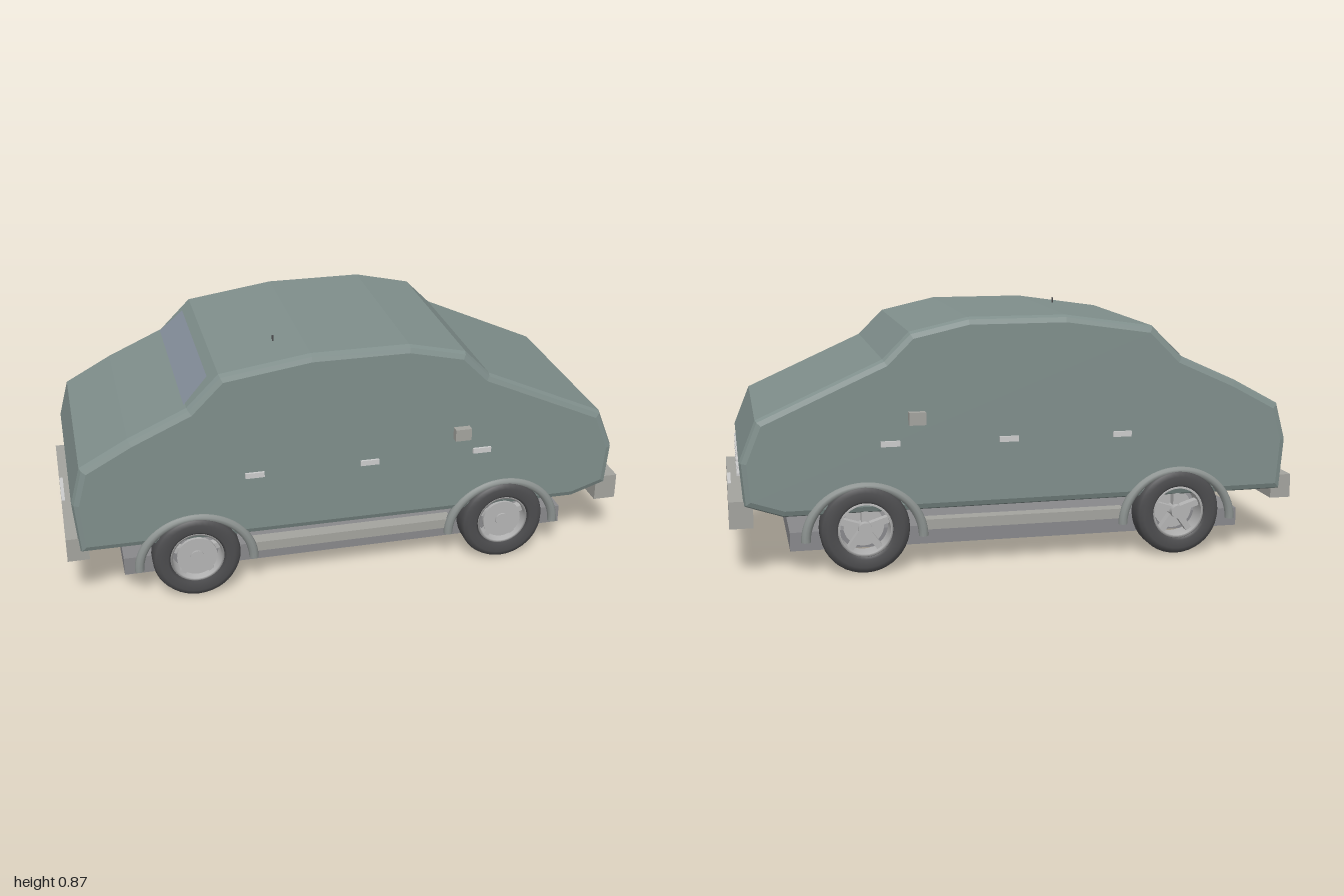
import * as THREE from 'three';

const paint = (color, extra = {}) => new THREE.MeshStandardMaterial({ color, ...extra });
const bodyMat = paint(0x7f8e8b, { flatShading: true });
const glassMat = paint(0x868f9c, { side: THREE.DoubleSide });
const trimMat = paint(0xa3a39e);
const lightMat = paint(0xcccccc);
const chassisMat = paint(0x88888b);
const tyreMat = paint(0x4c4c4e);
const rimMat = paint(0xb4b4b4);

function add(parent, name, geometry, material, x = 0, y = 0, z = 0) {
  const mesh = new THREE.Mesh(geometry, material);
  mesh.name = name;
  mesh.position.set(x, y, z);
  parent.add(mesh);
  return mesh;
}

// Box given by its extents on each axis
function slab(parent, name, material, [x0, x1], [y0, y1], [z0, z1]) {
  return add(parent, name, new THREE.BoxGeometry(x1 - x0, y1 - y0, z1 - z0), material,
    (x0 + x1) / 2, (y0 + y1) / 2, (z0 + z1) / 2);
}

// Saloon side profile extruded across the width with bevelled edges
function bodyGeometry() {
  const profile = [
    [-0.955, 0.215], [0.82, 0.207], [0.95, 0.25], [0.962, 0.4], [0.905, 0.54],
    [0.48, 0.73], [0.39, 0.82], [0.19, 0.865], [-0.15, 0.865], [-0.46, 0.82],
    [-0.57, 0.71], [-0.77, 0.62], [-0.935, 0.53], [-0.97, 0.4],
  ].map(([x, y]) => new THREE.Vector2(x, y));
  const bevel = 0.024;
  const geometry = new THREE.ExtrudeGeometry(new THREE.Shape(profile), {
    depth: 0.76 - 2 * bevel, bevelEnabled: true, bevelSize: bevel,
    bevelThickness: bevel, bevelOffset: -bevel, bevelSegments: 2,
  });
  return geometry.translate(0, 0, -0.38 + bevel);
}

// Wheel with a capped outer face and five spokes behind it
function makeWheel() {
  const wheel = new THREE.Group();
  wheel.name = 'wheel';
  const lathe = pts => new THREE.LatheGeometry(
    pts.map(([r, z]) => new THREE.Vector2(r, z)), 40).rotateX(Math.PI / 2);
  add(wheel, 'tyre', lathe([
    [0.094, -0.04], [0.102, -0.046], [0.13, -0.047], [0.146, -0.041], [0.153, -0.025],
    [0.153, 0.025], [0.146, 0.041], [0.13, 0.047], [0.102, 0.046], [0.094, 0.04], [0.094, -0.04],
  ]), tyreMat);
  add(wheel, 'rim', lathe([
    [0.086, -0.038], [0.095, -0.038], [0.095, 0.038], [0.086, 0.038], [0.086, -0.038],
  ]), rimMat);
  const disc = (name, r, depth, z) => add(wheel, name,
    new THREE.CylinderGeometry(r, r, depth, 32).rotateX(Math.PI / 2), rimMat, 0, 0, z);
  disc('wheelDisc', 0.07, 0.012, 0.026);
  disc('hub', 0.024, 0.076, 0);
  for (let i = 0; i < 5; i++) {
    const angle = Math.PI / 2 + i * Math.PI * 2 / 5;
    const spoke = add(wheel, 'spoke', new THREE.BoxGeometry(0.085, 0.022, 0.03), rimMat,
      0.05 * Math.cos(angle), 0.05 * Math.sin(angle), 0);
    spoke.rotation.z = angle;
  }
  return wheel;
}

export function createModel() {
  const car = new THREE.Group();
  car.name = 'car';
  add(car, 'body', bodyGeometry(), bodyMat);
  slab(car, 'chassis', chassisMat, [-0.81, 0.8], [0.075, 0.14], [-0.32, 0.32]);

  // Rear window lying on the sloped back of the cabin
  const low = [-0.576, 0.712], high = [-0.492, 0.796];
  const window = new THREE.BufferGeometry();
  window.setAttribute('position', new THREE.Float32BufferAttribute([
    low[0], low[1], -0.335, low[0], low[1], 0.335,
    high[0], high[1], 0.31, high[0], high[1], -0.31], 3));
  window.setIndex([0, 1, 2, 0, 2, 3]);
  window.computeVertexNormals();
  add(car, 'rearWindow', window, glassMat);

  // Bumpers, number plates and grille
  slab(car, 'frontBumper', trimMat, [0.92, 1], [0.175, 0.268], [-0.36, 0.36]);
  slab(car, 'rearBumper', trimMat, [-1, -0.925], [0.18, 0.265], [-0.36, 0.36]);
  slab(car, 'frontPlate', trimMat, [0.93, 0.955], [0.16, 0.2], [-0.1, 0.1]);
  for (const s of [-1, 1])
    slab(car, 'plateStrip', lightMat, [s * 0.993 - 0.006, s * 0.993 + 0.006], [0.25, 0.269], [-0.085, 0.085]);
  for (let i = 0; i < 4; i++) {
    const y = 0.318 + i * 0.025;
    slab(car, 'grilleBar', lightMat, [0.945, 0.967], [y - 0.004, y + 0.004], [-0.174, 0.174]);
  }

  // Parts repeated on both flanks
  for (const s of [-1, 1]) {
    const span = (a, b) => (s > 0 ? [a, b] : [-b, -a]);
    slab(car, 'sill', trimMat, [-0.365, 0.36], [0.14, 0.175], span(0.325, 0.375));
    for (const x of [-0.352, 0.052, 0.46])
      slab(car, 'doorHandle', lightMat, [x - 0.033, x + 0.033], [0.437, 0.456], span(0.37, 0.388));
    slab(car, 'mirrorStem', trimMat, [0.36, 0.385], [0.517, 0.537], span(0.37, 0.41));
    slab(car, 'mirror', trimMat, [0.345, 0.402], [0.515, 0.558], span(0.404, 0.431));

    for (const x of [-0.562, 0.55]) {
      const wheel = makeWheel();
      wheel.position.set(x, 0.155, s * 0.354);
      car.add(wheel);
      const arch = add(car, 'wheelArch', new THREE.TorusGeometry(0.2, 0.0165, 10, 32, Math.PI),
        paint(0x8c9290, { side: THREE.DoubleSide }), x, 0.12, s * 0.376);
      arch.scale.y = 0.92;
    }
  }

  // Short aerial on the roof
  add(car, 'aerial', new THREE.CylinderGeometry(0.003, 0.003, 0.03, 8), tyreMat, -0.245, 0.856, 0.19);
  return car;
}
